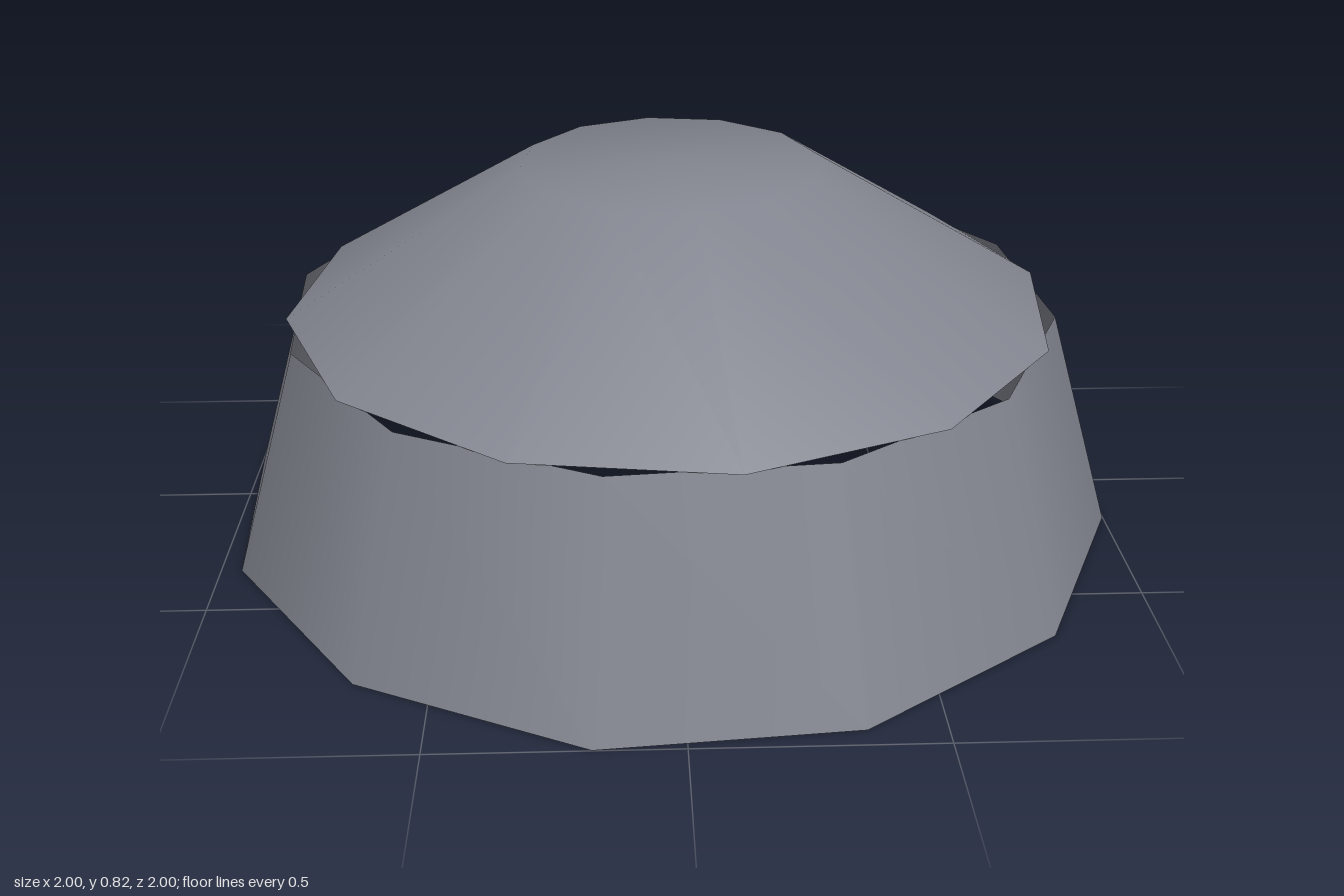
import * as THREE from 'three';

const SIDES = 12;
const DEG = Math.PI / 180;

// Open, smooth shell turned around y; profile runs from bottom to top
function shell(name, profile, turn, material) {
  const points = profile.map(([r, y]) => new THREE.Vector2(r, y));
  const mesh = new THREE.Mesh(new THREE.LatheGeometry(points, SIDES, turn * DEG), material);
  mesh.name = name;
  return mesh;
}

export function createModel() {
  const group = new THREE.Group();
  group.name = 'domedCover';
  const steel = new THREE.MeshStandardMaterial({ color: 0x82858f, side: THREE.DoubleSide });
  steel.name = 'steel grey';

  // Tapered wall, open at both ends
  group.add(shell('baseWall', [[1.015, 0], [0.863, 0.5]], -10.2, steel));
  // Flat-topped dome, turned slightly against the wall
  group.add(shell('domeCap', [[0.86, 0.5], [0.333, 0.82], [0, 0.82]], 7.2, steel));
  return group;
}
